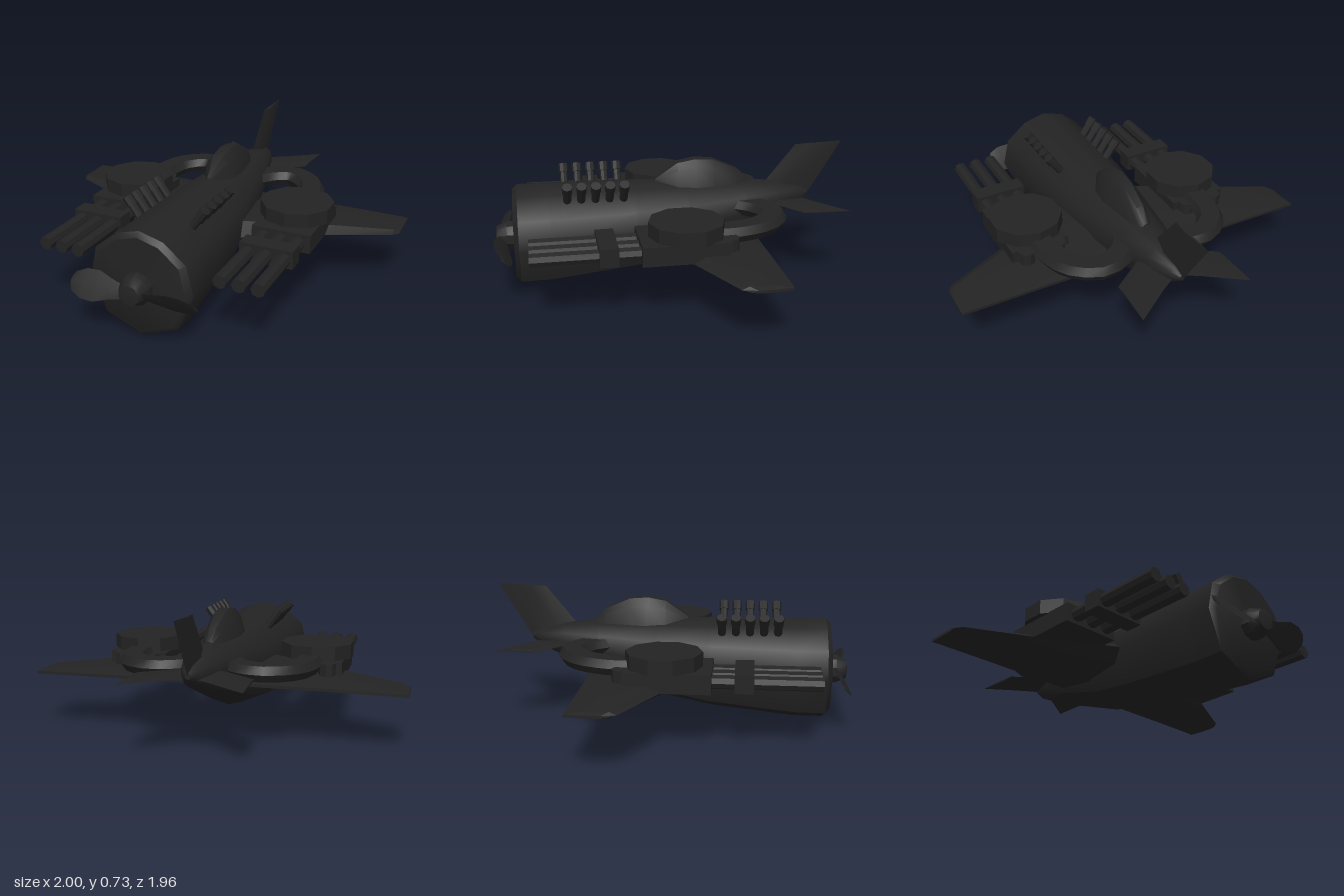
import * as THREE from 'three';
import { toCreasedNormals } from 'three/addons/utils/BufferGeometryUtils.js';

const V = (x, y, z) => new THREE.Vector3(x, y, z);

// Skin a list of closed rings, cap both ends and keep faces outward
function loft(rings, crease = 0.6) {
  const tris = [];
  const n = rings[0].length;
  for (let i = 0; i < rings.length - 1; i++) {
    const a = rings[i], b = rings[i + 1];
    for (let j = 0; j < n; j++) {
      const k = (j + 1) % n;
      tris.push([a[j], a[k], b[k]], [a[j], b[k], b[j]]);
    }
  }
  const cap = (ring, flip) => {
    const c = ring.reduce((s, p) => s.add(p), V(0, 0, 0)).divideScalar(n);
    ring.forEach((p, j) => {
      const q = ring[(j + 1) % n];
      tris.push(flip ? [c, q, p] : [c, p, q]);
    });
  };
  cap(rings[0], true);
  cap(rings[rings.length - 1], false);
  let volume = 0;
  for (const [a, b, c] of tris) volume += a.dot(b.clone().cross(c));
  const points = tris.flatMap(([a, b, c]) => (volume < 0 ? [a, c, b] : [a, b, c]));
  return toCreasedNormals(new THREE.BufferGeometry().setFromPoints(points), crease);
}

export function createModel() {
  const model = new THREE.Group();
  const darkMetal = new THREE.MeshStandardMaterial({ color: 0x232323 });
  darkMetal.name = 'darkMetal';

  function add(name, geometry, x = 0, y = 0, z = 0, parent = model) {
    const mesh = new THREE.Mesh(geometry, darkMetal);
    mesh.name = name;
    mesh.position.set(x, y, z);
    parent.add(mesh);
    return mesh;
  }

  const faceted = (r1, r2, h, sides) => toCreasedNormals(new THREE.CylinderGeometry(r1, r2, h, sides), 0.5);

  // Fuselage: z, half width, top, bottom
  const half = [[0.72, 0.15], [1, 0.5], [0.87, 0.77], [0.45, 0.94]];
  const section = [[0, 0], ...half, [0, 1], ...half.slice().reverse().map(([u, v]) => [-u, v])];
  const stations = [
    [0.87, 0.25, 0.54, 0.03], [0.845, 0.28, 0.565, 0], [0.68, 0.275, 0.565, 0],
    [0.22, 0.25, 0.56, 0.05], [-0.07, 0.21, 0.55, 0.11], [-0.4, 0.15, 0.535, 0.23],
    [-0.6, 0.1, 0.515, 0.31], [-0.74, 0.05, 0.48, 0.375], [-0.79, 0.015, 0.45, 0.42],
  ];
  add('fuselage', loft(stations.map(([z, w, top, bottom]) =>
    section.map(([u, v]) => V(u * w, bottom + v * (top - bottom), z))), 0.75));

  // Canopy: z, half width, top
  const glass = [
    [0.09, 0.02, 0.56], [-0.03, 0.08, 0.65], [-0.13, 0.085, 0.668], [-0.23, 0.075, 0.66],
    [-0.37, 0.055, 0.6], [-0.44, 0.03, 0.535],
  ];
  add('canopy', loft(glass.map(([z, w, top]) =>
    [[-1.15, 0], [-0.75, 0.72], [-0.35, 0.97], [0.35, 0.97], [0.75, 0.72], [1.15, 0]]
      .map(([u, v]) => V(u * w, 0.5 + v * (top - 0.5) / 0.97, z)))));

  // Tail fin
  add('tailFin', loft([
    [V(0, 0.5, -0.53), V(0.02, 0.5, -0.64), V(0, 0.44, -0.8), V(-0.02, 0.5, -0.64)],
    [V(0, 0.72, -0.71), V(0.008, 0.722, -0.8), V(0, 0.73, -0.98), V(-0.008, 0.722, -0.8)],
  ]));

  // Propeller hub
  const hub = [[0, 0.86], [0.08, 0.86], [0.08, 0.91], [0.055, 0.965], [0, 0.975]]
    .map(([r, z]) => new THREE.Vector2(r, z));
  const hubGeometry = new THREE.LatheGeometry(hub, 10).rotateX(Math.PI / 2);
  hubGeometry.scale(1, 1, 1);
  add('propellerHub', toCreasedNormals(hubGeometry, 0.6), 0, 0.28, 0).material.side = THREE.DoubleSide;

  // Propeller blades: radius and half chord, pitched about the span
  const blade = [[0.04, 0.03], [0.12, 0.05], [0.2, 0.078], [0.27, 0.075], [0.325, 0.05], [0.34, 0.025]];
  for (const s of [1, -1]) {
    const dir = V(0, 0.82, 0.57 * s);
    const thick = V(0, -0.57 * s, 0.82).multiplyScalar(0.007);
    add('propellerBlade', loft(blade.map(([r, c]) => {
      const p = V(s * r, 0.27, 0.93);
      return [
        p.clone().addScaledVector(dir, c), p.clone().add(thick),
        p.clone().addScaledVector(dir, -c), p.clone().sub(thick),
      ];
    })));
  }

  for (const s of [1, -1]) {
    const side = s > 0 ? 'left' : 'right';

    // Wing: x, leading z, trailing z, middle, top, bottom
    const ribs = [
      [0.1, 0.29, -0.4, 0.31, 0.375, 0.245], [0.28, 0.2, -0.4, 0.31, 0.365, 0.255],
      [0.66, -0.01, -0.4, 0.31, 0.343, 0.275], [0.97, -0.16, -0.4, 0.307, 0.323, 0.292],
      [1, -0.2, -0.4, 0.305, 0.312, 0.298],
    ];
    add(side + 'Wing', loft(ribs.map(([x, le, te, mid, top, bottom]) => {
      const at = (t, y) => V(s * x, y, le + t * (te - le));
      return [at(0, mid), at(0.15, top), at(0.6, top), at(1, mid + 0.01),
        at(1, mid - 0.005), at(0.6, bottom), at(0.15, bottom)];
    }), 0.3));

    // Tailplane
    const plane = [[0.02, -0.48, -0.75, 0.012], [0.1, -0.54, -0.8, 0.012], [0.295, -0.68, -0.94, 0.006]];
    add(side + 'Tailplane', loft(plane.map(([x, le, te, t]) => [
      V(s * x, 0.415, le), V(s * x, 0.415 + t, le - 0.06),
      V(s * (x + 0.01), 0.413, te), V(s * x, 0.415 - t, le - 0.06),
    ])));

    // Exhaust stubs
    for (let i = 0; i < 5; i++) {
      const z = 0.283 + i * 0.075;
      const stub = new THREE.Group();
      stub.name = side + 'Exhaust';
      stub.position.set(s * 0.165, 0.53, z);
      stub.rotation.z = -s * 0.62;
      model.add(stub);
      add('exhaustPipe', faceted(0.022, 0.022, 0.15, 8), 0, 0, 0, stub);
      add('exhaustTip', faceted(0.027, 0.027, 0.05, 8), 0, 0.066, 0, stub);
    }

    // Gun pod with ammunition drum
    const pod = new THREE.Group();
    pod.name = side + 'GunPod';
    pod.position.x = s * 0.485;
    model.add(pod);
    add('podBody', new THREE.BoxGeometry(0.32, 0.1, 0.44), 0, 0.36, 0.03, pod);
    add('ammoDrum', faceted(0.197, 0.197, 0.078, 10), 0, 0.446, 0.005, pod);
    for (const x of [-0.085, 0.085]) {
      add('rearHousing', faceted(0.045, 0.045, 0.1, 8), x, 0.36, -0.205, pod);
    }
    for (const x of [-0.096, 0, 0.096]) {
      const barrel = faceted(0.036, 0.036, 0.6, 8).rotateX(Math.PI / 2);
      add('barrel', barrel, x, 0.36, 0.495, pod);
    }
    add('barrelClamp', new THREE.BoxGeometry(0.285, 0.095, 0.095), 0, 0.362, 0.41, pod);

    // Curved feed duct from the pod to the fuselage
    const path = new THREE.CatmullRomCurve3([
      V(0.475, 0.4, -0.15), V(0.465, 0.4, -0.28), V(0.415, 0.405, -0.42), V(0.285, 0.41, -0.505),
      V(0.16, 0.41, -0.455), V(0.08, 0.41, -0.35),
    ].map((p) => V(p.x * s, p.y, p.z)));
    const rings = path.getPoints(12).map((p, i) => {
      const t = path.getTangent(i / 12);
      const across = V(t.z, 0, -t.x).normalize();
      return [[-0.075, 0], [-0.05, 0.04], [0.05, 0.04], [0.075, 0], [0.05, -0.04], [-0.05, -0.04]]
        .map(([u, v]) => p.clone().addScaledVector(across, u).add(V(0, v, 0)));
    });
    add(side + 'FeedDuct', loft(rings, 0.5));
  }

  return model;
}
